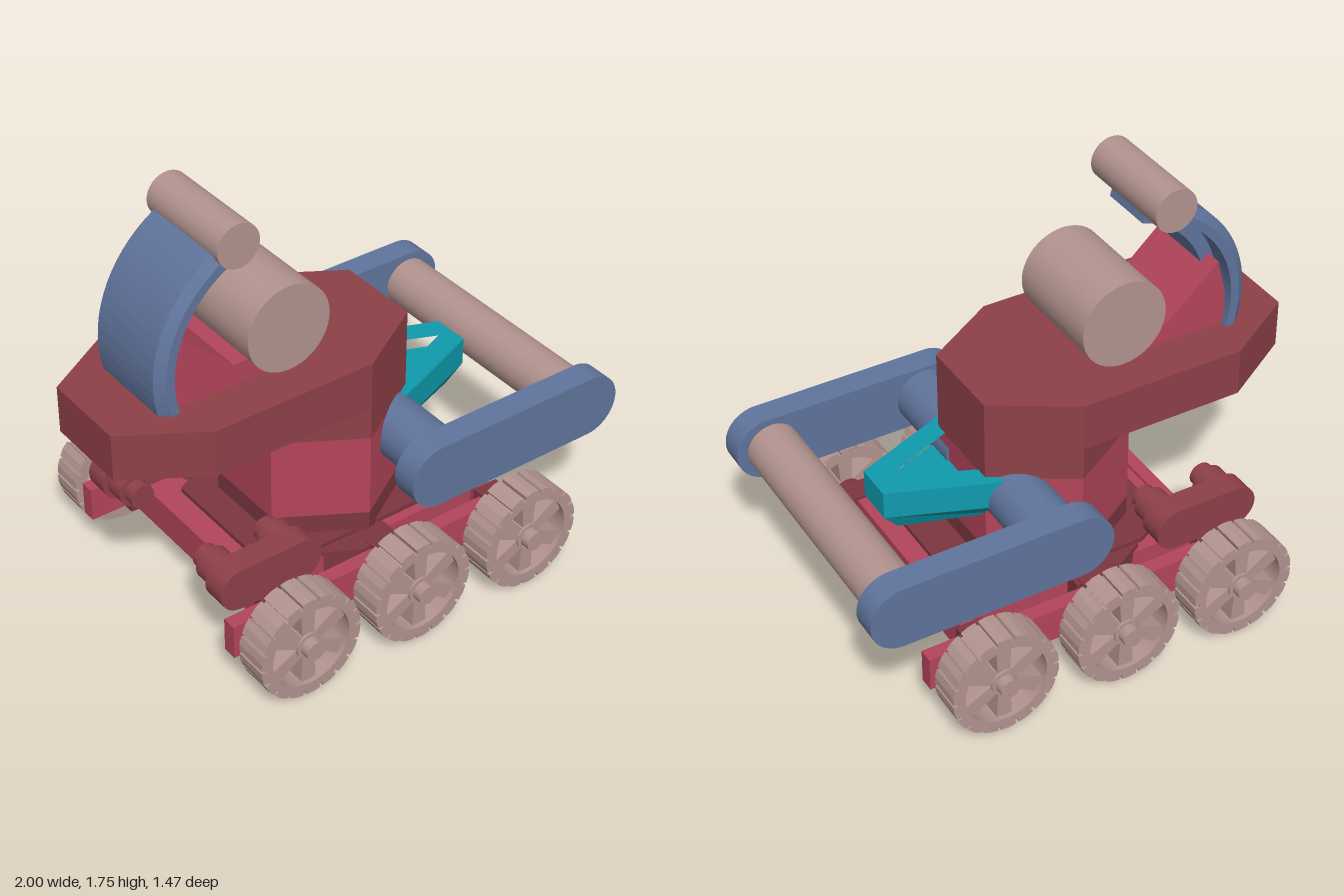
import * as THREE from 'three';

const mat = (color) => new THREE.MeshStandardMaterial({ color });
const deckRed = mat(0x8e4048), red = mat(0xb3455a), darkRed = mat(0x7c3640);
const blue = mat(0x60749c), tan = mat(0xb39490), teal = mat(0x0f9bad);

export function createModel() {
  const model = new THREE.Group();

  const add = (name, geo, material, x = 0, y = 0, z = 0, parent = model) => {
    const mesh = new THREE.Mesh(geo, material);
    mesh.name = name;
    mesh.position.set(x, y, z);
    parent.add(mesh);
    return mesh;
  };
  const box = (name, m, w, h, d, x, y, z, parent) =>
    add(name, new THREE.BoxGeometry(w, h, d), m, x, y, z, parent);
  // Cylinder lying along z between z0 and z1
  const rod = (name, m, r, x, y, z0, z1, parent) =>
    add(name, new THREE.CylinderGeometry(r, r, z1 - z0, 40).rotateX(Math.PI / 2),
      m, x, y, (z0 + z1) / 2, parent);
  const polygon = (pts) => new THREE.Shape(pts.map(([a, b]) => new THREE.Vector2(a, b)));
  const extrude = (shape, depth) =>
    new THREE.ExtrudeGeometry(shape, { depth, bevelEnabled: false, curveSegments: 24 });
  // Plan outline in (x, z) raised from y0 to y1
  const slab = (name, m, shape, y0, y1) =>
    add(name, extrude(shape, y1 - y0).rotateX(-Math.PI / 2), m, 0, y0, 0);
  // Half outline at +z mirrored to a closed plan
  const mirrored = (half) =>
    polygon([...half, ...half.slice().reverse().map(([x, z]) => [x, -z])]);
  // Side profile in (x, y) extruded between z0 and z1
  const profile = (name, m, shape, z0, z1) => add(name, extrude(shape, z1 - z0), m, 0, 0, z0);
  const stadium = (x0, x1, y, r) => {
    const s = new THREE.Shape();
    s.absarc(x1 - r, y, r, -Math.PI / 2, Math.PI / 2);
    s.absarc(x0 + r, y, r, Math.PI / 2, Math.PI * 1.5);
    s.closePath();
    return s;
  };

  // Faceted hull column and overhanging deck
  const column = mirrored([[-0.33, 0.18], [-0.01, 0.37], [0.3, 0.18]]);
  slab('lowerHull', darkRed, column, 0.09, 0.38);
  slab('column', red, column, 0.38, 0.73);
  slab('columnCollar', deckRed, column, 0.73, 0.9);
  slab('deck', deckRed,
    mirrored([[-1, 0.18], [-0.69, 0.37], [-0.01, 0.37], [0.3, 0.18]]), 0.87, 1.065);

  // Chassis plate, belly, cross bars and side rails
  box('chassisPlate', red, 1.03, 0.13, 0.76, -0.035, 0.215, 0);
  slab('belly', darkRed,
    mirrored([[-0.45, 0.26], [-0.3, 0.34], [0.3, 0.34], [0.45, 0.26]]), 0.115, 0.3);
  for (const x of [-0.53, 0.515]) box('crossBar', red, 0.055, 0.145, 0.9, x, 0.222, 0);

  for (const s of [1, -1]) {
    const span = (a, b) => (s > 0 ? [a, b] : [-b, -a]);
    box('sideRail', red, 1.47, 0.145, 0.06, -0.005, 0.22, s * 0.49);
    slab('gusset', darkRed,
      polygon([[-0.27, s * 0.36], [-0.11, s * 0.45], [0.06, s * 0.45], [0.06, s * 0.36]]),
      0.15, 0.3);

    // Rounded pods with stepped drums on their inner side
    profile('sidePod', deckRed, stadium(-0.745, -0.297, 0.385, 0.088), ...span(0.35, 0.453));
    for (const x of [-0.655, -0.385]) {
      rod('podDrum', deckRed, 0.07, x, 0.385, ...span(0.26, 0.36));
      rod('podDrumCap', deckRed, 0.05, x, 0.385, ...span(0.21, 0.27));
    }

    // Front lifting arms
    profile('liftArm', blue, stadium(0.003, 0.997, 0.635, 0.131), ...span(0.5, 0.608));
    rod('armPivot', blue, 0.117, 0.192, 0.635, ...span(0.1, 0.51));

    // Three wheels with axle mounts
    for (const x of [-0.527, -0.013, 0.513]) {
      box('axleBlock', darkRed, 0.11, 0.17, 0.1, x, 0.22, s * 0.475);
      rod('axleMount', darkRed, 0.06, x, 0.22, ...span(0.5, 0.58));
      model.add(makeWheel(x, s));
    }
  }
  rod('armRoller', tan, 0.105, 0.848, 0.635, -0.51, 0.51);

  // Tapered nose tray with a triangular recess
  const nosePlan = () => mirrored([[0.15, 0.28], [0.235, 0.25], [0.67, 0.078]]);
  const tray = nosePlan();
  tray.holes.push(polygon([[0.27, -0.14], [0.27, 0.14], [0.605, 0]]));
  slab('noseTrayWalls', teal, tray, 0.62, 0.735);
  // Underside narrows toward its bottom
  const base = extrude(nosePlan(), 0.08).rotateX(-Math.PI / 2);
  const bp = base.attributes.position;
  for (let i = 0; i < bp.count; i++) {
    if (bp.getY(i) < 0.01) bp.setXYZ(i, bp.getX(i) * 0.9, 0, bp.getZ(i) * 0.75);
  }
  base.computeVertexNormals();
  add('noseTrayBase', base, teal, 0, 0.54, 0);

  // Curved back shield: bevelled section swept about the z axis, with an inner rib
  const cx = -0.294, cy = 1.19;
  const sweep = (name, section, from, to) => {
    const pts = section.map(([r, z]) => new THREE.Vector2(r, z));
    const shape = new THREE.Shape(pts);
    const steps = 18;
    const geo = new THREE.ExtrudeGeometry(shape, { depth: 1, steps, bevelEnabled: false });
    const p = geo.attributes.position;
    for (let i = 0; i < p.count; i++) {
      const a = THREE.MathUtils.degToRad(from + (to - from) * p.getZ(i));
      const r = p.getX(i);
      p.setXYZ(i, r * Math.cos(a), r * Math.sin(a), p.getY(i));
    }
    geo.computeVertexNormals();
    const m = blue.clone();
    m.side = THREE.DoubleSide;
    add(name, geo, m, cx, cy, 0);
  };
  sweep('curvedShield',
    [[0.455, -0.21], [0.49, -0.21], [0.526, -0.18], [0.526, 0.18], [0.49, 0.21], [0.455, 0.21]],
    197, 111);
  sweep('shieldRib', [[0.4, -0.11], [0.47, -0.11], [0.47, 0.11], [0.4, 0.11]], 199, 106);

  // Wedge mount, main drum and top roller
  profile('wedgeMount', red,
    polygon([[-0.74, 1.05], [-0.25, 1.05], [-0.25, 1.15], [-0.484, 1.15],
      [-0.703, 1.35], [-0.74, 1.21]]), -0.18, 0.18);
  rod('mainDrum', tan, 0.178, -0.27, 1.243, -0.22, 0.22);
  rod('topRoller', tan, 0.088, -0.477, 1.662, -0.22, 0.22);

  // Toothed rim, six spokes, hub and axle end
  function makeWheel(x, s) {
    const wheel = new THREE.Group();
    wheel.name = 'wheel';
    const teeth = 18, outline = [];
    for (let i = 0; i < teeth; i++) {
      for (const [f, r] of [[0, 0.2], [0.16, 0.2], [0.16, 0.22], [0.58, 0.222], [1, 0.22]]) {
        const a = ((i + f) / teeth) * Math.PI * 2;
        outline.push([r * Math.cos(a), r * Math.sin(a)]);
      }
    }
    const rim = polygon(outline);
    rim.holes.push(new THREE.Path().absarc(0, 0, 0.17, 0, Math.PI * 2, true));
    add('rim', extrude(rim, 0.14), tan, 0, 0, -0.07, wheel);
    for (let i = 0; i < 6; i++) {
      const a = Math.PI / 2 + (i * Math.PI) / 3;
      const spoke = extrude(
        polygon([[0.03, -0.024], [0.176, -0.033], [0.176, 0.033], [0.03, 0.024]]), 0.1);
      add('spoke', spoke, tan, 0, 0, -0.05, wheel).rotation.z = a;
    }
    rod('hub', tan, 0.055, 0, 0, -0.07, 0.06, wheel);
    rod('axleEnd', tan, 0.04, 0, 0, 0, 0.1, wheel);
    wheel.position.set(x, 0.222, s * 0.635);
    if (s < 0) wheel.rotation.y = Math.PI;
    return wheel;
  }

  return model;
}
